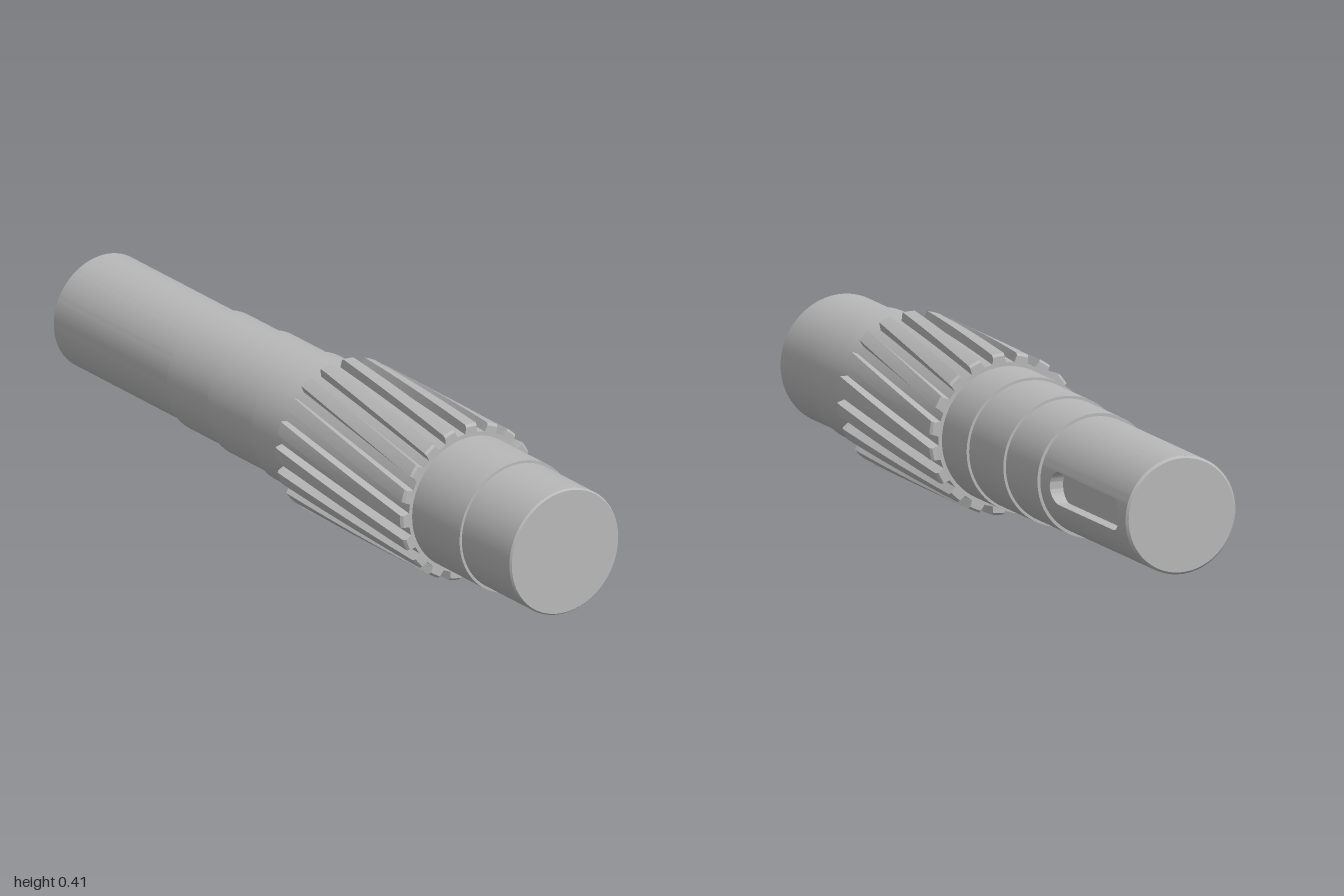
import * as THREE from 'three';
import { toCreasedNormals } from 'three/addons/utils/BufferGeometryUtils.js';

const AXIS_Y = 0.207;

// Surface from f(u, v) -> [x, y, z]; it faces along du x dv.
function grid(f, nu, nv) {
  const pos = [], idx = [];
  for (let i = 0; i <= nu; i++) for (let j = 0; j <= nv; j++) pos.push(...f(i, j));
  for (let i = 0; i < nu; i++) for (let j = 0; j < nv; j++) {
    const a = i * (nv + 1) + j, b = a + nv + 1;
    idx.push(a, b, a + 1, b, b + 1, a + 1);
  }
  const g = new THREE.BufferGeometry();
  g.setAttribute('position', new THREE.Float32BufferAttribute(pos, 3));
  g.setIndex(idx);
  return toCreasedNormals(g, 0.35);
}

// Turned part along x from [x, radius] pairs; start and length cut out an arc.
function turned(profile, start = 0, length = Math.PI * 2) {
  const pts = profile.map(([x, r]) => new THREE.Vector2(r, x));
  return toCreasedNormals(new THREE.LatheGeometry(pts, 96, start, length).rotateZ(-Math.PI / 2), 0.35);
}

export function createModel() {
  const model = new THREE.Group();
  model.name = 'pinionShaft';
  const steel = new THREE.MeshStandardMaterial({ color: 0xb8b8b8 });
  steel.name = 'steel grey';
  const add = (name, geometry) => {
    const mesh = new THREE.Mesh(geometry, steel);
    mesh.name = name;
    mesh.position.y = AXIS_Y;
    model.add(mesh);
  };

  // Stepped shaft from the keyed journal to the chamfered far end
  add('steppedShaft', turned([
    [-0.495, 0.152], [-0.495, 0.16], [-0.31, 0.16], [-0.31, 0.167], [-0.11, 0.167], [-0.11, 0.174],
    [0.79, 0.174], [0.79, 0.167], [0.995, 0.167], [1, 0.163], [1, 0],
  ]));

  // Keyed journal: end cap, then the cylinder left open along the keyway band
  const R = 0.152, H = 0.042, X0 = -0.994, X1 = -0.495;
  const slotStart = -0.95, slotEnd = -0.55, floorZ = -0.115;
  const band = Math.asin(H / R);
  add('journalEnd', turned([[-1, 0], [-1, 0.146], [X0, R]]));
  add('keyedJournal', turned([[X0, R], [X1, R]], Math.PI + band, 2 * (Math.PI - band)));

  // Cylinder surface on either side of the round-ended keyway
  const N = 24;
  const surfaceZ = (y) => -Math.sqrt(R * R - y * y);
  const strip = (from, to) => grid((i, j) => {
    const t = (i / N - 0.5) * Math.PI, y = H * Math.sin(t);
    return [j ? to(t) : from(t), y, surfaceZ(y)];
  }, N, 1);
  add('keywayOuterSurround', strip(() => X0, (t) => slotStart + H * (1 - Math.cos(t))));
  add('keywayInnerSurround', strip((t) => slotEnd - H * (1 - Math.cos(t)), () => X1));

  // Keyway walls and flat floor
  const slot = new THREE.Shape();
  slot.absarc(slotEnd - H, 0, H, -Math.PI / 2, Math.PI / 2);
  slot.absarc(slotStart + H, 0, H, Math.PI / 2, Math.PI * 1.5);
  slot.closePath();
  const rim = slot.getPoints(24);
  add('keywayWalls', grid((i, j) => {
    const { x, y } = rim[i % rim.length];
    return [x, y, j ? surfaceZ(y) : floorZ];
  }, rim.length, 1));
  add('keywayFloor', new THREE.ShapeGeometry(slot, 24).rotateX(Math.PI).translate(0, 0, floorZ));

  // Helical pinion: tooth section swept along x with a steady twist
  const TEETH = 19, PITCH = (Math.PI * 2) / TEETH, TIP = 0.207, ROOT = 0.184;
  const G0 = 0.035, G1 = 0.585, TWIST = 0.375, PHASE = 0.126, BEVEL = 0.006;
  const section = [
    [-0.086, TIP], [-0.063, ROOT], [0, ROOT], [0.063, ROOT], [0.086, TIP],
    [0.127, TIP], [PITCH / 2, TIP], [PITCH - 0.127, TIP],
  ];
  // Each station is [x, largest radius]; the first and last close the end faces
  const stations = [[G0, 0.165], [G0, TIP - BEVEL]];
  for (let i = 0; i <= 24; i++) stations.push([G0 + BEVEL + (G1 - G0 - 2 * BEVEL) * (i / 24), TIP]);
  stations.push([G1, TIP - BEVEL], [G1, 0.165]);
  add('helicalPinion', grid((i, j) => {
    const [offset, radius] = section[i % section.length];
    const [x, limit] = stations[j];
    const a = PHASE + Math.floor(i / section.length) * PITCH + offset + TWIST * (x - G1) / (G1 - G0);
    const r = Math.min(radius, limit);
    return [x, r * Math.cos(a), r * Math.sin(a)];
  }, TEETH * section.length, stations.length - 1));

  return model;
}
